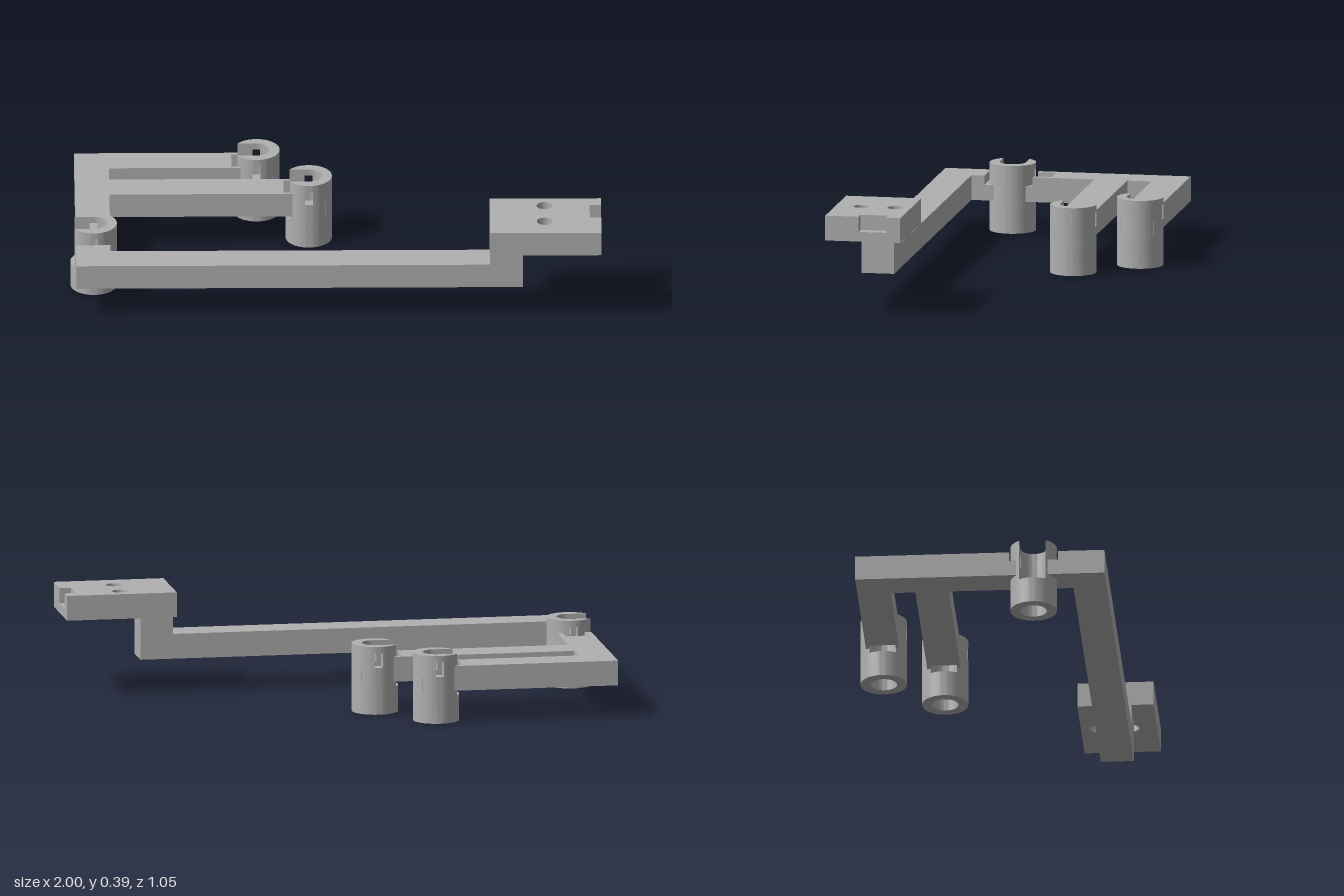
import * as THREE from 'three';
import { toCreasedNormals } from 'three/addons/utils/BufferGeometryUtils.js';

const R = 0.0875, r = 0.05; // socket outer and bore radius

// Plan outline from [x, z] points
const outline = (pts) => new THREE.Shape(pts.map(([x, z]) => new THREE.Vector2(x, -z)));
const rect = (x0, x1, z0, z1) => outline([[x0, z1], [x1, z1], [x1, z0], [x0, z0]]);

export function createModel() {
  const model = new THREE.Group();
  const grey = new THREE.MeshStandardMaterial({ color: 0xb0b0b0 });
  grey.name = 'grey plastic';

  // Raise a plan outline between two heights
  function slab(name, shape, y0, y1, parent = model) {
    const geo = new THREE.ExtrudeGeometry(shape, { depth: y1 - y0, bevelEnabled: false, curveSegments: 40 });
    geo.rotateX(-Math.PI / 2).translate(0, y0, 0);
    const mesh = new THREE.Mesh(toCreasedNormals(geo, 0.5), grey);
    mesh.name = name;
    parent.add(mesh);
    return mesh;
  }

  function hole(shape, x, z, radius) {
    const path = new THREE.Path();
    path.absarc(x, -z, radius, 0, Math.PI * 2, true);
    shape.holes.push(path);
  }

  // Long front bar with its riser
  slab('frontBar', rect(-0.98, 0.705, 0.315, 0.44), 0.12, 0.215);
  slab('riser', rect(0.58, 0.705, 0.315, 0.44), 0.215, 0.295);

  // Mounting plate with two screw holes and an end notch
  const base = rect(0.58, 1, 0.235, 0.523);
  const top = outline([[0.58, 0.523], [1, 0.523], [1, 0.395], [0.957, 0.395],
    [0.957, 0.29], [1, 0.29], [1, 0.235], [0.58, 0.235]]);
  for (const s of [base, top]) for (const z of [0.295, 0.425]) hole(s, 0.787, z, 0.03);
  slab('plateBase', base, 0.295, 0.332);
  slab('plateTop', top, 0.332, 0.39);

  // Side bar, pocketed next to its socket
  slab('sideBar', rect(-0.98, -0.85, -0.502, 0.105), 0.12, 0.18);
  slab('sideBarTop', outline([[-0.98, 0.08], [-0.955, 0.08], [-0.955, 0.01], [-0.87, 0.01],
    [-0.87, 0.08], [-0.85, 0.08], [-0.85, -0.502], [-0.98, -0.502]]), 0.18, 0.215);
  slab('sideBarCorner', rect(-0.98, -0.85, 0.225, 0.315), 0.12, 0.18);
  slab('sideBarCornerTop', rect(-0.98, -0.85, 0.265, 0.315), 0.18, 0.215);
  slab('sideBarLink', rect(-0.863, -0.85, 0.105, 0.225), 0.12, 0.18);

  // Forked arm reaching its socket at (cx, cz)
  function arm(cx, cz) {
    const w = 0.063, f = cx - 0.095, e = cx + 0.062;
    slab('arm', outline([[-0.85, cz + w], [e, cz + w], [e, cz + r], [f, cz + r],
      [f, cz - r], [e, cz - r], [e, cz - w], [-0.85, cz - w]]), 0.12, 0.18);
    const t = cx - 0.03;
    slab('armTop', outline([[-0.85, cz + w], [t, cz + w], [t, cz + r], [f, cz + r],
      [f, cz - r], [t, cz - r], [t, cz - w], [-0.85, cz - w]]), 0.18, 0.215);
  }

  // Cylindrical socket, slotted towards -x, with a small window on each side
  const ring = new THREE.Shape().absarc(0, 0, R, 0, Math.PI * 2, false);
  hole(ring, 0, 0, r);
  const mouth = Math.PI - Math.asin(r / R);
  const clip = new THREE.Shape().absarc(0, 0, R, -mouth, mouth, false);
  clip.absarc(0, 0, r, Math.PI / 2, -Math.PI / 2, true);
  const win = 0.015, ao = Math.acos(win / R), ai = Math.acos(win / r);
  const half = new THREE.Shape().absarc(0, 0, R, -ao, ao, false);
  half.absarc(0, 0, r, ai, -ai, true);
  const jaw = (s) => {
    const shape = new THREE.Shape();
    shape.absarc(0, 0, R, s * (Math.PI - ao), s * mouth, s < 0);
    shape.lineTo(-win, s * r);
    return shape;
  };
  function socket(x, z) {
    const g = new THREE.Group();
    g.name = 'socket';
    slab('socketBase', ring, 0, 0.1, g);
    slab('socketClip', clip, 0.1, 0.18, g);
    slab('socketWindowWall', half, 0.18, 0.235, g);
    for (const s of [1, -1]) slab('socketJaw', jaw(s), 0.18, 0.235, g);
    slab('socketRim', clip, 0.235, 0.26, g);
    g.position.set(x, 0, z);
    model.add(g);
  }

  for (const [x, z] of [[-0.293, -0.439], [-0.098, -0.22]]) {
    arm(x, z);
    socket(x, z);
  }
  socket(-0.9125, 0.168);

  return model;
}
